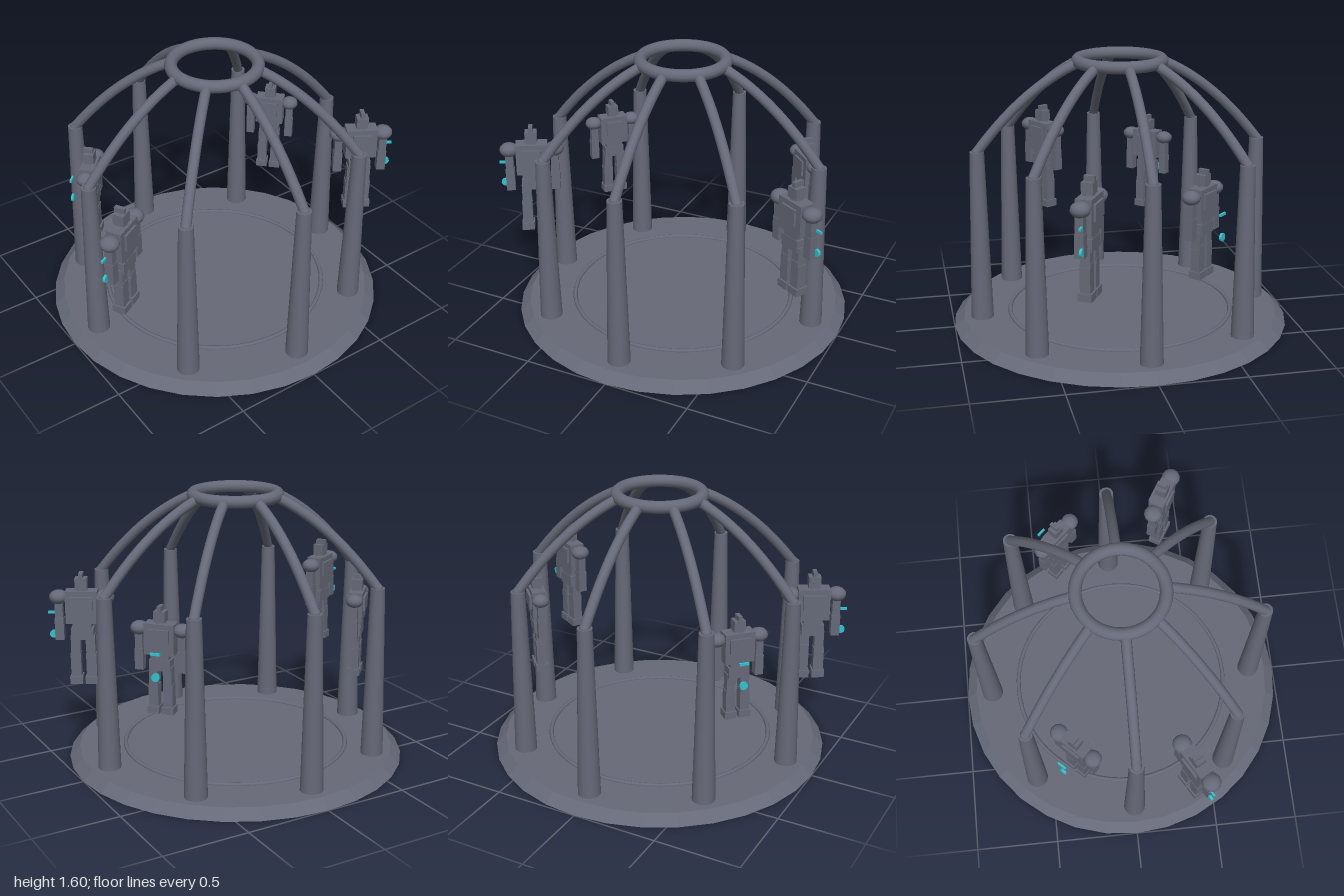
import * as THREE from 'three';

const slate = new THREE.MeshStandardMaterial({ color: 0x666978 });
slate.name = 'slate metal';
const cyan = new THREE.MeshStandardMaterial({ color: 0x2fc4cf });
cyan.name = 'cyan light';

function add(parent, name, geometry, x, y, z, material = slate) {
  const mesh = new THREE.Mesh(geometry, material);
  mesh.name = name;
  mesh.position.set(x, y, z);
  parent.add(mesh);
  return mesh;
}
const box = (w, h, d) => new THREE.BoxGeometry(w, h, d);

// Flat faceted normals for a built-in geometry
function faceted(geometry) {
  const g = geometry.toNonIndexed();
  g.computeVertexNormals();
  return g;
}

// Hanging robot figure, soles at y = 0, facing +z
function makeRobot() {
  const robot = new THREE.Group();
  robot.name = 'robotFigure';
  add(robot, 'pelvis', box(0.13, 0.07, 0.075), 0, 0.305, 0);
  add(robot, 'waist', box(0.11, 0.05, 0.07), 0, 0.355, 0);
  add(robot, 'chest', box(0.185, 0.19, 0.09), 0, 0.465, 0);
  add(robot, 'chestPlate', box(0.13, 0.09, 0.02), 0, 0.485, 0.05);
  add(robot, 'backPlate', box(0.11, 0.1, 0.016), 0, 0.48, -0.05);
  add(robot, 'neck', new THREE.CylinderGeometry(0.03, 0.035, 0.03, 8), 0, 0.57, 0);
  add(robot, 'head', box(0.07, 0.065, 0.065), 0, 0.602, 0);
  add(robot, 'crest', box(0.024, 0.07, 0.06), 0, 0.63, 0.005);

  for (const s of [-1, 1]) {
    // Leg
    add(robot, 'foot', box(0.074, 0.045, 0.078), s * 0.045, 0.0225, 0);
    add(robot, 'shin', box(0.06, 0.14, 0.058), s * 0.045, 0.115, 0);
    add(robot, 'knee', box(0.052, 0.03, 0.062), s * 0.045, 0.195, 0);
    add(robot, 'thigh', box(0.055, 0.1, 0.055), s * 0.043, 0.245, 0);
    // Arm with a domed shoulder
    const shoulder = add(robot, 'shoulder', new THREE.SphereGeometry(0.056, 12, 8), s * 0.133, 0.52, 0);
    shoulder.scale.y = 0.75;
    add(robot, 'upperArm', box(0.046, 0.1, 0.046), s * 0.133, 0.44, 0);
    add(robot, 'forearm', box(0.052, 0.13, 0.052), s * 0.133, 0.33, 0);
  }
  return robot;
}

// Small glowing pair: a slim bar above a round disc, facing +z
function makeLight(height) {
  const light = new THREE.Group();
  light.name = 'accentLight';
  add(light, 'lightBar', box(0.055, 0.014, 0.012), 0, height, 0, cyan);
  const disc = add(light, 'lightDisc', new THREE.CylinderGeometry(0.023, 0.023, 0.014, 12),
    0, height - 0.13, 0, cyan);
  disc.rotation.x = Math.PI / 2;
  return light;
}

export function createModel() {
  const model = new THREE.Group();
  model.name = 'domedPavilion';

  // Base with sloped rim and a raised floor ring
  add(model, 'base', faceted(new THREE.CylinderGeometry(0.94, 1, 0.055, 32)), 0, 0.0275, 0);
  const floorRing = add(model, 'floorRing', new THREE.TorusGeometry(0.665, 0.013, 8, 64), 0, 0.056, 0);
  floorRing.rotation.x = Math.PI / 2;

  // Eight tapered columns, each with a curved rib rising to the crown
  const columnGeometry = new THREE.CylinderGeometry(0.042, 0.066, 1.015, 16);
  const ribCurve = new THREE.QuadraticBezierCurve3(
    new THREE.Vector3(0.835, 1.06, 0),
    new THREE.Vector3(0.55, 1.43, 0),
    new THREE.Vector3(0.23, 1.56, 0));
  const ribGeometry = new THREE.TubeGeometry(ribCurve, 16, 0.029, 10, false);
  for (let i = 0; i < 8; i++) {
    const bay = new THREE.Group();
    bay.name = 'columnAndRib';
    add(bay, 'column', columnGeometry, 0.834, 0.5575, 0);
    add(bay, 'rib', ribGeometry, 0, 0, 0);
    add(bay, 'ribJoint', new THREE.SphereGeometry(0.03, 10, 8), 0.834, 1.062, 0);
    bay.rotation.y = i * Math.PI / 4;
    model.add(bay);
  }

  // Crown ring
  const crown = add(model, 'crownRing', new THREE.TorusGeometry(0.243, 0.036, 12, 48), 0, 1.562, 0);
  crown.rotation.x = Math.PI / 2;

  // Four robots with their lights, mirrored left and right
  const placements = [
    { x: 0.827, z: 0.336, turn: 150, scale: 1, lightX: 0.98, lightZ: 0.405, lightY: 0.9 },
    { x: 0.648, z: -0.32, turn: 134, scale: 0.917, lightX: 0.73, lightZ: -0.41, lightY: 0.84 },
  ];
  for (const p of placements) {
    for (const s of [-1, 1]) {
      const turn = s * THREE.MathUtils.degToRad(p.turn);
      const robot = makeRobot();
      robot.position.set(s * p.x, 0.467, p.z);
      robot.rotation.y = turn;
      robot.scale.setScalar(p.scale);
      model.add(robot);

      const light = makeLight(p.lightY);
      light.position.set(s * p.lightX, 0, p.lightZ);
      light.rotation.y = turn;
      model.add(light);
    }
  }
  return model;
}
